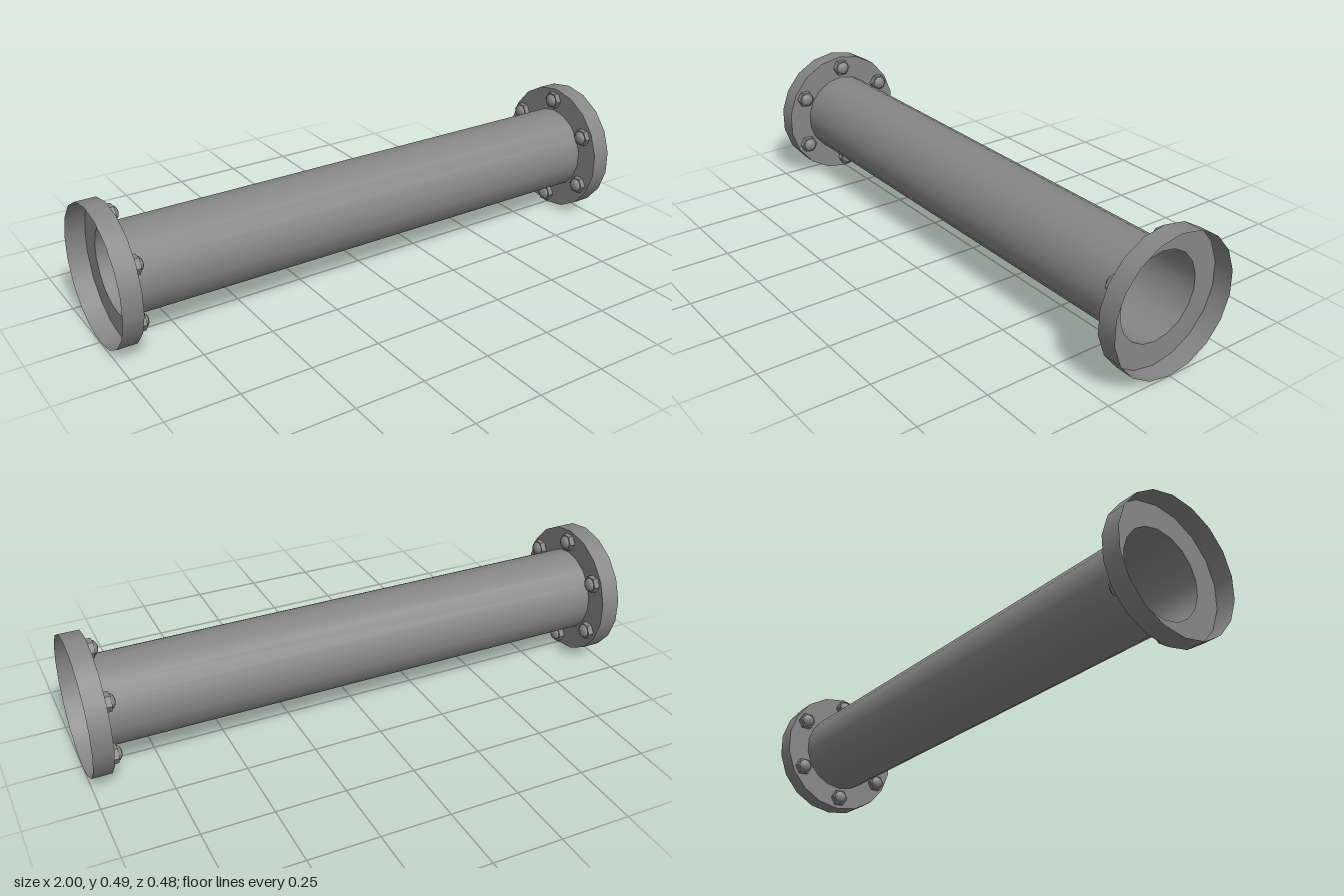
import * as THREE from 'three';

const SIDES = 18, PIPE_R = 0.156, FLANGE_R = 0.2435, PLATE_X = 0.93;
const BOLTS = 6, BOLT_CIRCLE = 0.2, GREY = 0x868686;

export function createModel() {
  const model = new THREE.Group();
  model.name = 'flangedPipe';
  const sheet = new THREE.MeshStandardMaterial({ color: GREY, side: THREE.DoubleSide });
  const smooth = new THREE.MeshStandardMaterial({ color: GREY });
  const faceted = new THREE.MeshStandardMaterial({ color: GREY, flatShading: true });

  const add = (parent, name, geometry, material, x = 0) => {
    const mesh = new THREE.Mesh(geometry, material);
    mesh.name = name;
    mesh.position.x = x;
    parent.add(mesh);
  };
  // Open tube along x with a corner at the top
  const tube = (radius, length) =>
    new THREE.CylinderGeometry(radius, radius, length, SIDES, 1, true, Math.PI / 2).rotateZ(Math.PI / 2);

  // Hollow pipe between the two flange plates
  add(model, 'pipe', tube(PIPE_R, PLATE_X * 2), sheet);

  const rimGeo = tube(FLANGE_R, 1 - PLATE_X);
  const plateGeo = new THREE.RingGeometry(PIPE_R, FLANGE_R, SIDES, 1, Math.PI / 2).rotateY(Math.PI / 2);
  const nutGeo = new THREE.CylinderGeometry(0.033, 0.033, 0.02, 6).rotateZ(Math.PI / 2);
  const domeGeo = new THREE.SphereGeometry(0.026, 12, 5, 0, Math.PI * 2, 0, Math.PI / 2)
    .scale(1, 0.7, 1).rotateZ(Math.PI / 2);

  // Flange facing +x: open rim, recessed plate and bolts on the pipe side
  const flange = new THREE.Group();
  flange.name = 'leftFlange';
  add(flange, 'rim', rimGeo, sheet, (1 + PLATE_X) / 2);
  add(flange, 'plate', plateGeo, sheet, PLATE_X);
  for (let i = 0; i < BOLTS; i++) {
    const a = (i / BOLTS) * Math.PI * 2;
    const bolt = new THREE.Group();
    bolt.name = 'bolt';
    bolt.position.set(PLATE_X, Math.cos(a) * BOLT_CIRCLE, Math.sin(a) * BOLT_CIRCLE);
    add(bolt, 'nut', nutGeo, faceted, -0.01);
    add(bolt, 'boltEnd', domeGeo, smooth, -0.018);
    flange.add(bolt);
  }

  // The same flange turned round for the other end
  const other = flange.clone();
  other.name = 'rightFlange';
  other.rotation.y = Math.PI;
  model.add(flange, other);

  model.position.y = FLANGE_R;
  return model;
}
